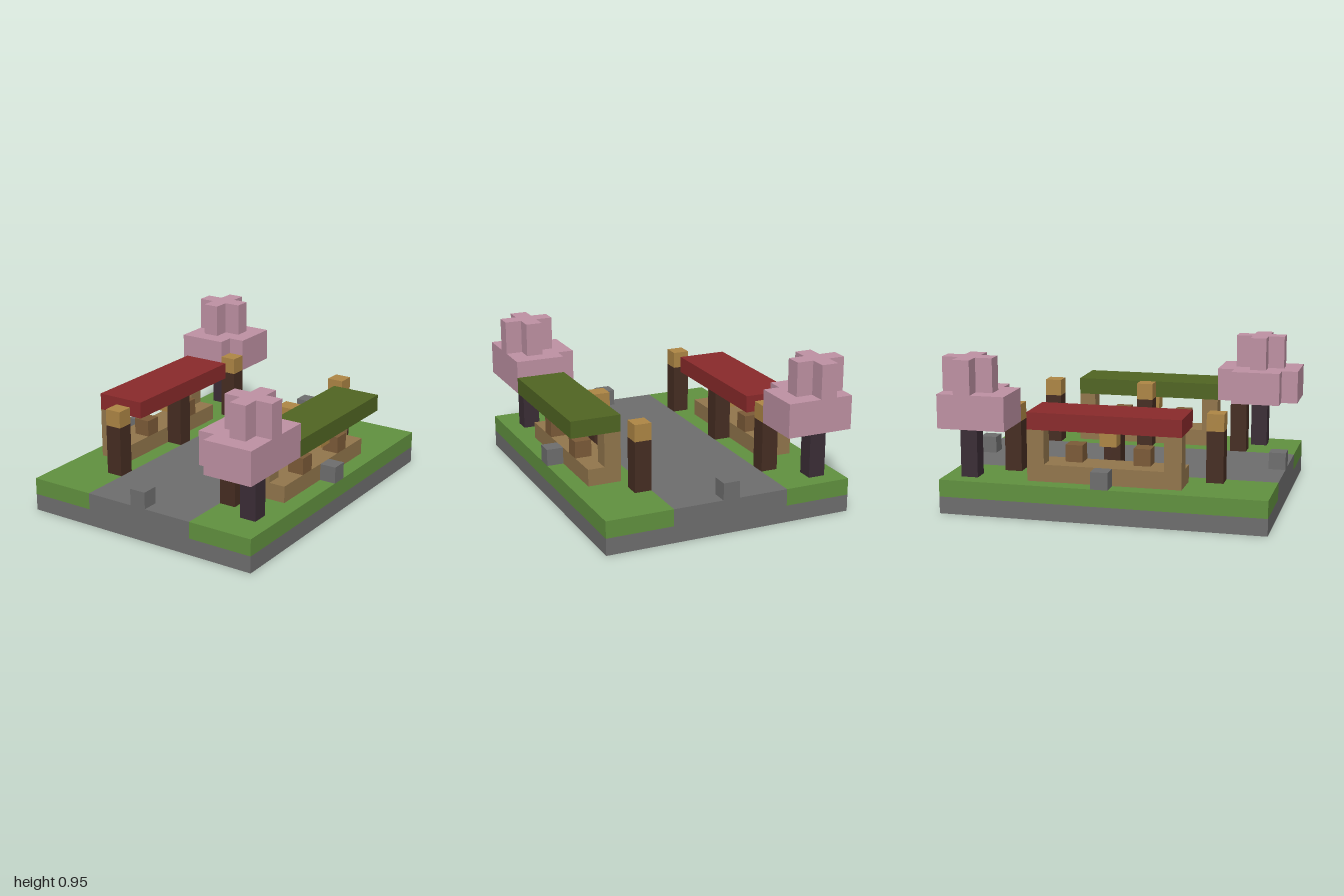
import * as THREE from 'three';

const U = 2 / 19; // one block; the plot is 15 x 19 blocks

const material = (name, color) => {
  const m = new THREE.MeshStandardMaterial({ color });
  m.name = name;
  return m;
};
const M = {
  stone: material('stone grey', 0x6e6e6e),
  grass: material('grass green', 0x61913f),
  blossom: material('blossom pink', 0xbe91a3),
  red: material('roof red', 0x8a2a2b),
  olive: material('roof olive', 0x506522),
  timber: material('timber tan', 0x92764c),
  goods: material('goods brown', 0x7c5b38),
  light: material('lantern amber', 0xae8645),
  post: material('post dark brown', 0x462d22),
  trunk: material('trunk dark purple', 0x3b2d36),
};

// Box between block coordinates: corner (x, y, z), size (w, h, d)
function block(parent, name, mat, x, y, z, w = 1, h = 1, d = 1) {
  const mesh = new THREE.Mesh(new THREE.BoxGeometry(w * U, h * U, d * U), mat);
  mesh.position.set((x + w / 2 - 7.5) * U, (y + h / 2) * U, (z + d / 2 - 9.5) * U);
  mesh.name = name;
  parent.add(mesh);
}

function group(parent, name) {
  const g = new THREE.Group();
  g.name = name;
  parent.add(g);
  return g;
}

// Solid built from a plan outline in block coordinates
function slab(parent, name, mat, outline, y, h) {
  const shape = new THREE.Shape(outline.map(([x, z]) => new THREE.Vector2((x - 7.5) * U, -(z - 9.5) * U)));
  const geo = new THREE.ExtrudeGeometry(shape, { depth: h * U, bevelEnabled: false });
  geo.rotateX(-Math.PI / 2).translate(0, y * U, 0);
  const mesh = new THREE.Mesh(geo, mat);
  mesh.name = name;
  parent.add(mesh);
}

// Blossom tree with a cross-shaped crown centred on block (x, z)
function tree(parent, name, x, z, canopy) {
  const g = group(parent, name);
  block(g, 'trunk', M.trunk, x, 2, z, 1, 3, 1);
  slab(g, 'canopy', M.blossom, canopy, 5, 2);
  slab(g, 'crown', M.blossom, [
    [0, -1], [1, -1], [1, 0], [2, 0], [2, 1], [1, 1],
    [1, 2], [0, 2], [0, 1], [-1, 1], [-1, 0], [0, 0],
  ].map(([a, b]) => [x + a, z + b]), 7, 2);
}

// Market stall: counter, two posts, goods, hanging lantern and roof
function stall(parent, name, x, roofMat) {
  const g = group(parent, name);
  block(g, 'counter', M.timber, x, 2, 5, 2, 1, 9);
  for (const z of [5, 13]) block(g, 'stallPost', M.timber, x, 3, z, 1, 2, 1);
  for (const z of [7, 11]) block(g, 'goods', M.goods, x + 1, 3, z);
  block(g, 'hangingLantern', M.light, x + 1, 4, 9);
  block(g, 'roof', roofMat, x, 5, 5, 3, 1, 9);
}

export function createModel() {
  const model = new THREE.Group();
  model.name = 'marketStreet';

  // Ground
  block(model, 'base', M.stone, 0, 0, 0, 15, 1, 19);
  block(model, 'road', M.stone, 4, 1, 0, 7, 1, 19);
  for (const x of [0, 11]) block(model, 'grass', M.grass, x, 1, 0, 4, 1, 19);

  // Boundary stones
  for (const [x, z] of [[7, 0], [7, 18], [0, 9], [14, 9]]) block(model, 'stone', M.stone, x, 2, z);

  // Stalls
  stall(model, 'redStall', 1, M.red);
  stall(model, 'oliveStall', 12, M.olive);

  // Street lamps; two are capped by a roof or a canopy
  for (const x of [3, 11]) {
    for (const z of [3, 9, 15]) {
      const g = group(model, 'streetLamp');
      block(g, 'lampPost', M.post, x, 2, z, 1, 3, 1);
      const covered = (x === 3 && z === 9) || (x === 11 && z === 15);
      if (!covered) block(g, 'lampHead', M.light, x, 5, z);
    }
  }

  // Trees, with canopies clipped at the plot edges
  tree(model, 'backTree', 1, 1, [[0, 0], [4, 0], [4, 3], [3, 3], [3, 4], [0, 4]]);
  tree(model, 'frontTree', 13, 16, [
    [12, 14], [15, 14], [15, 19], [12, 19], [12, 18], [11, 18], [11, 15], [12, 15],
  ]);

  return model;
}
